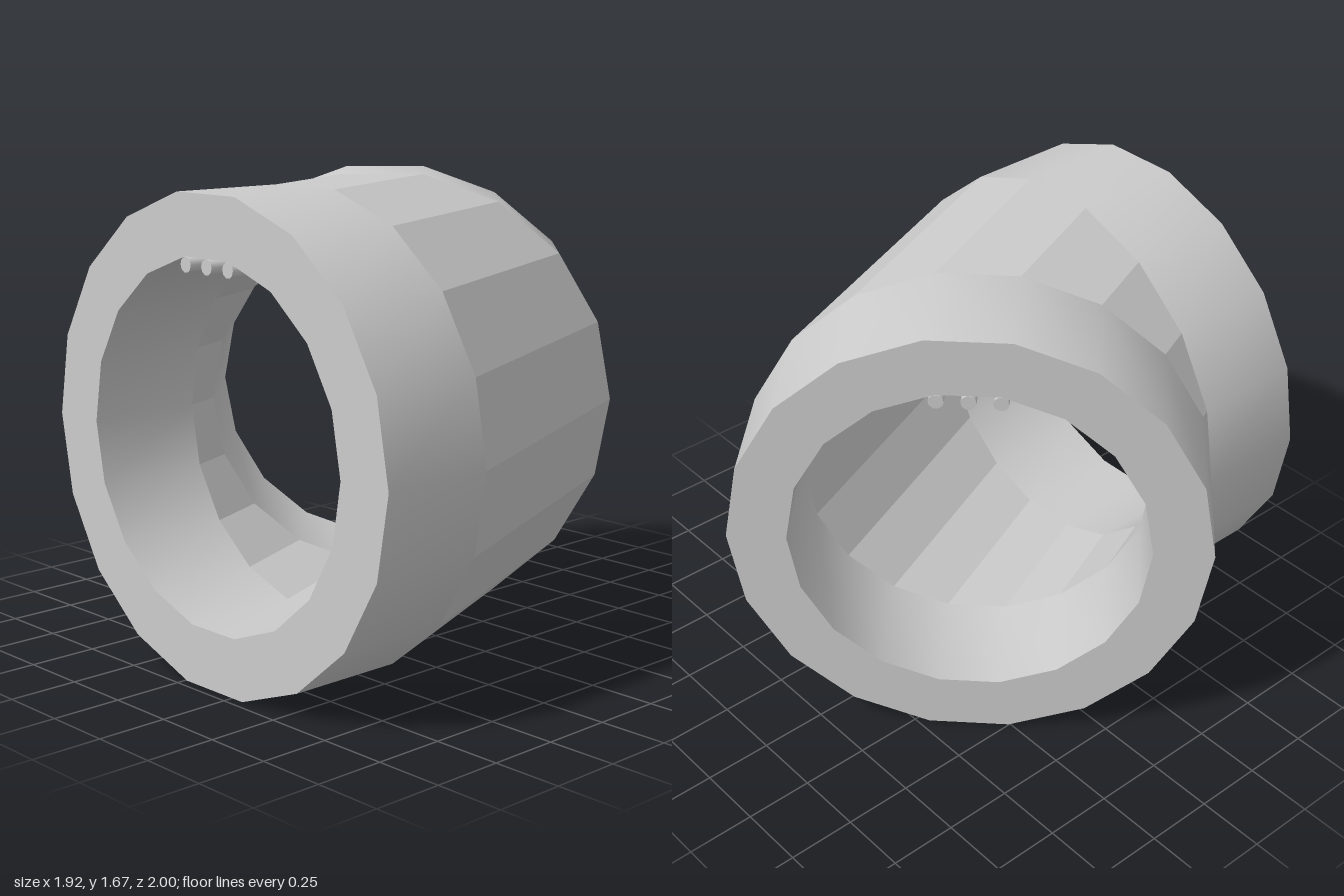
import * as THREE from 'three';

const SIDES = 18, R_OUT = 0.848, R_IN = 0.636, MID_Y = 0.835, LEN = 0.425;
const PIPE_Y = 1.434, PIPE_R = 0.027;
const material = new THREE.MeshStandardMaterial({ color: 0xcccccc });

// Stations along the bend: centre of the ring, its horizontal axis u (towards
// the outside of the bend). The two inner stations hinge at the inside corner.
const c = Math.SQRT1_2;
const uA = new THREE.Vector3(0, 0, 1), uB = new THREE.Vector3(c, 0, c);
const ringA = new THREE.Vector3(-0.54, MID_Y, 0.155);
const ringB = ringA.clone().addScaledVector(uA, -R_OUT).addScaledVector(uB, R_OUT);
const dirA = new THREE.Vector3(-1, 0, 0), dirB = new THREE.Vector3(c, 0, -c);
const stations = [
  { p: ringA.clone().addScaledVector(dirA, LEN), u: uA },
  { p: ringA, u: uA },
  { p: ringB, u: uB },
  { p: ringB.clone().addScaledVector(dirB, LEN), u: uB },
];

// Ring of points at a station, moved sideways and upwards
function ring(i, radius, sides = SIDES, side = 0, up = 0) {
  const { p, u } = stations[i];
  return Array.from({ length: sides }, (_, k) => {
    const a = (k / sides) * Math.PI * 2;
    const q = p.clone().addScaledVector(u, side + radius * Math.cos(a));
    q.y += up + radius * Math.sin(a);
    return q;
  });
}

// Skin between two rings, smooth or faceted
function skin(group, name, a, b, smooth) {
  const n = a.length, index = [];
  for (let k = 0; k < n; k++) {
    const m = (k + 1) % n;
    index.push(k, n + k, n + m, k, n + m, m);
  }
  let geo = new THREE.BufferGeometry().setFromPoints([...a, ...b]);
  geo.setIndex(index);
  if (!smooth) geo = geo.toNonIndexed();
  geo.computeVertexNormals();
  const mesh = new THREE.Mesh(geo, material);
  mesh.name = name;
  group.add(mesh);
}

export function createModel() {
  const model = new THREE.Group();
  model.name = 'pipeElbow';

  // Thick shell: outside, end face, inside, end face
  const shell = new THREE.Group();
  shell.name = 'shell';
  const o = [0, 1, 2, 3].map(i => ring(i, R_OUT));
  const n = [0, 1, 2, 3].map(i => ring(i, R_IN));
  for (let i = 0; i < 3; i++) {
    const smooth = i !== 1;
    const part = ['firstCollar', 'bend', 'secondCollar'][i];
    skin(shell, part + 'Outside', o[i], o[i + 1], smooth);
    skin(shell, part + 'Inside', n[i + 1], n[i], smooth);
  }
  skin(shell, 'firstEndFace', n[0], o[0], false);
  skin(shell, 'secondEndFace', o[3], n[3], false);
  model.add(shell);

  // Three thin pipes following the bend under the ceiling
  for (const side of [-0.108, 0, 0.108]) {
    const pipe = new THREE.Group();
    pipe.name = 'ceilingPipe';
    const at = (i, r) => ring(i, r, 10, side, PIPE_Y - MID_Y);
    for (let i = 0; i < 3; i++) skin(pipe, 'pipeRun', at(i, PIPE_R), at(i + 1, PIPE_R), true);
    skin(pipe, 'pipeCap', at(0, 0), at(0, PIPE_R), false);
    skin(pipe, 'pipeCap', at(3, PIPE_R), at(3, 0), false);
    model.add(pipe);
  }

  // A clamp block holding the pipes near each end
  for (const [station, dir, turn] of [[stations[0], dirA, 0], [stations[3], dirB, Math.PI / 4]]) {
    const clamp = new THREE.Mesh(new THREE.BoxGeometry(0.2, 0.06, 0.34), material);
    clamp.name = 'pipeClamp';
    clamp.position.copy(station.p).addScaledVector(dir, -0.22);
    clamp.position.y = PIPE_Y;
    clamp.rotation.y = turn;
    model.add(clamp);
  }
  return model;
}
